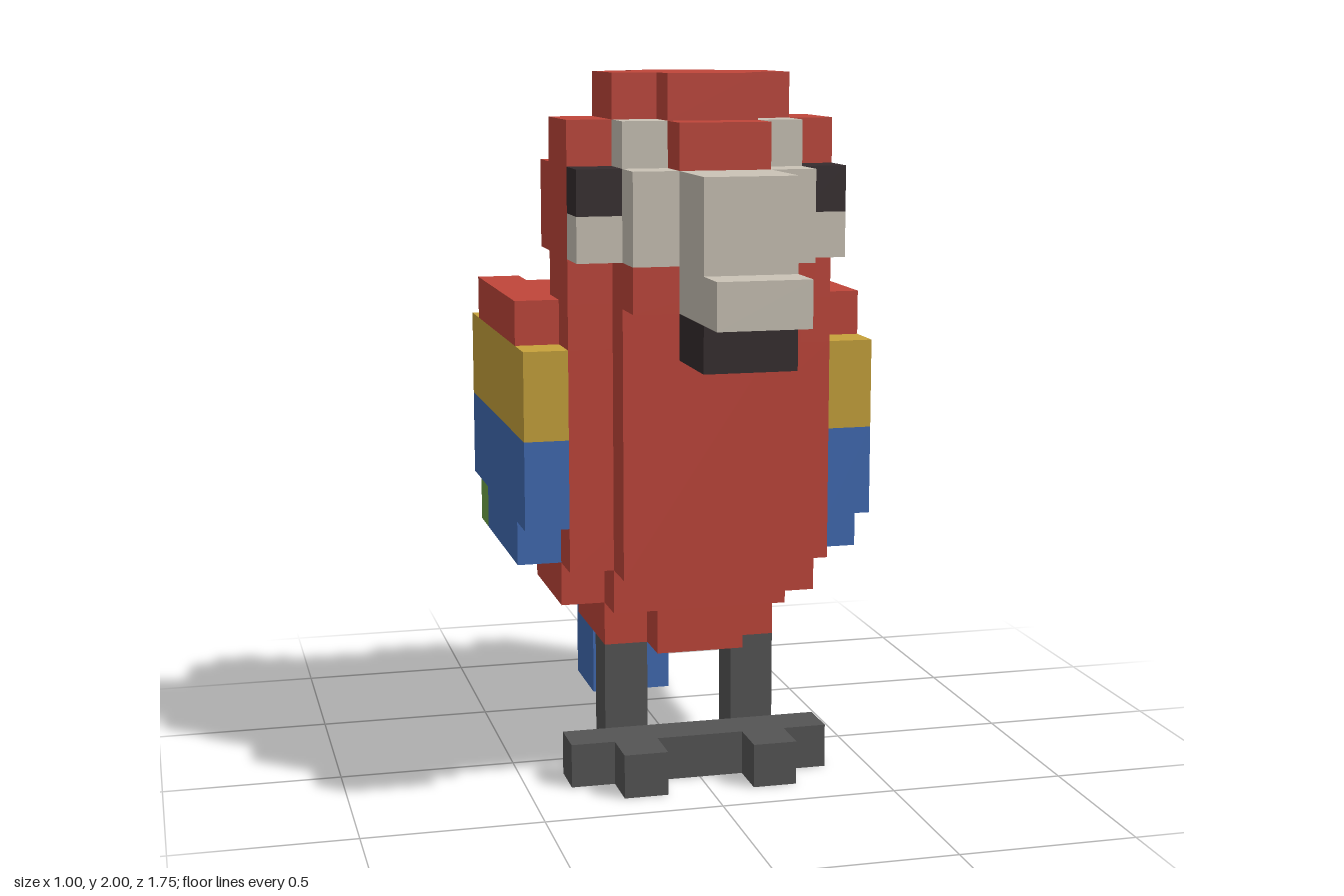
import * as THREE from 'three';

const U = 0.125; // one block

const mat = (name, color) => {
  const m = new THREE.MeshStandardMaterial({ color });
  m.name = name;
  return m;
};

export function createModel() {
  const red = mat('red', 0xc0463a);
  const cream = mat('cream', 0xcac3b6);
  const yellow = mat('yellow', 0xc7a23b);
  const blue = mat('blue', 0x416bb3);
  const green = mat('green', 0x6fa347);
  const dark = mat('dark', 0x352c2e);
  const grey = mat('grey', 0x555555);

  const root = new THREE.Group();
  root.name = 'blockParrot';
  const part = (name) => {
    const g = new THREE.Group();
    g.name = name;
    root.add(g);
    return g;
  };
  // Box between block limits
  const box = (g, name, m, x0, x1, y0, y1, z0, z1) => {
    const geo = new THREE.BoxGeometry((x1 - x0) * U, (y1 - y0) * U, (z1 - z0) * U);
    const mesh = new THREE.Mesh(geo, m);
    mesh.name = name;
    mesh.position.set((x0 + x1) / 2 * U, (y0 + y1) / 2 * U, (z0 + z1) / 2 * U);
    g.add(mesh);
  };
  // Box centred on x = 0
  const mid = (g, name, m, hw, y0, y1, z0, z1) => box(g, name, m, -hw, hw, y0, y1, z0, z1);
  // Mirrored pair
  const pair = (g, name, m, x0, x1, y0, y1, z0, z1) => {
    box(g, name + 'Left', m, x0, x1, y0, y1, z0, z1);
    box(g, name + 'Right', m, -x1, -x0, y0, y1, z0, z1);
  };

  // Head: stacked stepped layers
  const head = part('head');
  mid(head, 'crownFrontToBack', red, 1, 15, 16, -1, 3);
  mid(head, 'crownSides', red, 2, 15, 16, 0, 2);
  mid(head, 'browFrontToBack', red, 1, 14, 15, -2, 4);
  mid(head, 'browSides', red, 3, 14, 15, 0, 2);
  mid(head, 'skull', red, 3, 12, 14, -1, 2);
  mid(head, 'skullBack', red, 2, 12, 14, -2, -1);
  mid(head, 'neckSides', red, 3, 11, 12, 0, 2);
  mid(head, 'nape', red, 1, 11, 12, -3, 0);
  mid(head, 'chin', red, 2, 11, 12, 2, 4);

  // Face, eyes and beak
  const face = part('face');
  mid(face, 'facePatch', cream, 2, 12, 14, 2, 4);
  pair(face, 'browPatch', cream, 1, 2, 14, 15, 2, 3);
  pair(face, 'cheek', cream, 2, 3, 12, 13, 2, 3);
  pair(face, 'eye', dark, 2, 3, 13, 14, 2, 3);
  mid(face, 'upperBeak', cream, 1, 11, 14, 4, 6);
  mid(face, 'beakTip', cream, 1, 11, 12, 6, 7);
  mid(face, 'lowerBeak', dark, 1, 10, 11, 4, 6);

  // Body
  const body = part('body');
  mid(body, 'shoulders', red, 3, 10, 11, -3, 2);
  pair(body, 'shoulderCap', red, 3, 4, 10, 11, -4, 1);
  mid(body, 'upperBack', red, 2, 10, 11, -4, -3);
  mid(body, 'torso', red, 3, 5, 10, -3, 2);
  mid(body, 'breast', red, 2, 5, 11, 2, 3);
  mid(body, 'back', red, 2, 6, 10, -4, -3);
  mid(body, 'bellySides', red, 3, 4, 5, -2, 1);
  mid(body, 'belly', red, 2, 4, 5, -3, 2);
  mid(body, 'rumpSides', red, 2, 3, 4, -2, 1);
  mid(body, 'rump', red, 1, 3, 4, -3, 2);

  // Wings
  const wings = part('wings');
  pair(wings, 'wingTop', yellow, 3, 4, 8, 10, -5, 2);
  pair(wings, 'wingTopInner', yellow, 2, 3, 8, 10, -4, -3);
  pair(wings, 'wingMiddle', blue, 3, 4, 6, 8, -5, 2);
  pair(wings, 'wingMiddleInner', blue, 2, 3, 6, 8, -4, -3);
  pair(wings, 'wingBottom', blue, 3, 4, 5, 6, -3, 1);
  pair(wings, 'wingTip', green, 3, 4, 5, 6, -4, -3);

  // Tail
  const tail = part('tail');
  mid(tail, 'tailFront', red, 1, 3, 8, -5, -4);
  mid(tail, 'tailBack', red, 1, 4, 8, -6, -5);
  mid(tail, 'tailTip', blue, 1, 0, 4, -7, -5);

  // Legs and feet
  const legs = part('legs');
  pair(legs, 'leg', grey, 1, 2, 0, 3, 0, 1);
  mid(legs, 'footBar', grey, 3, 0, 1, 1, 2);
  pair(legs, 'frontToe', grey, 1, 2, 0, 1, 2, 3);

  return root;
}
